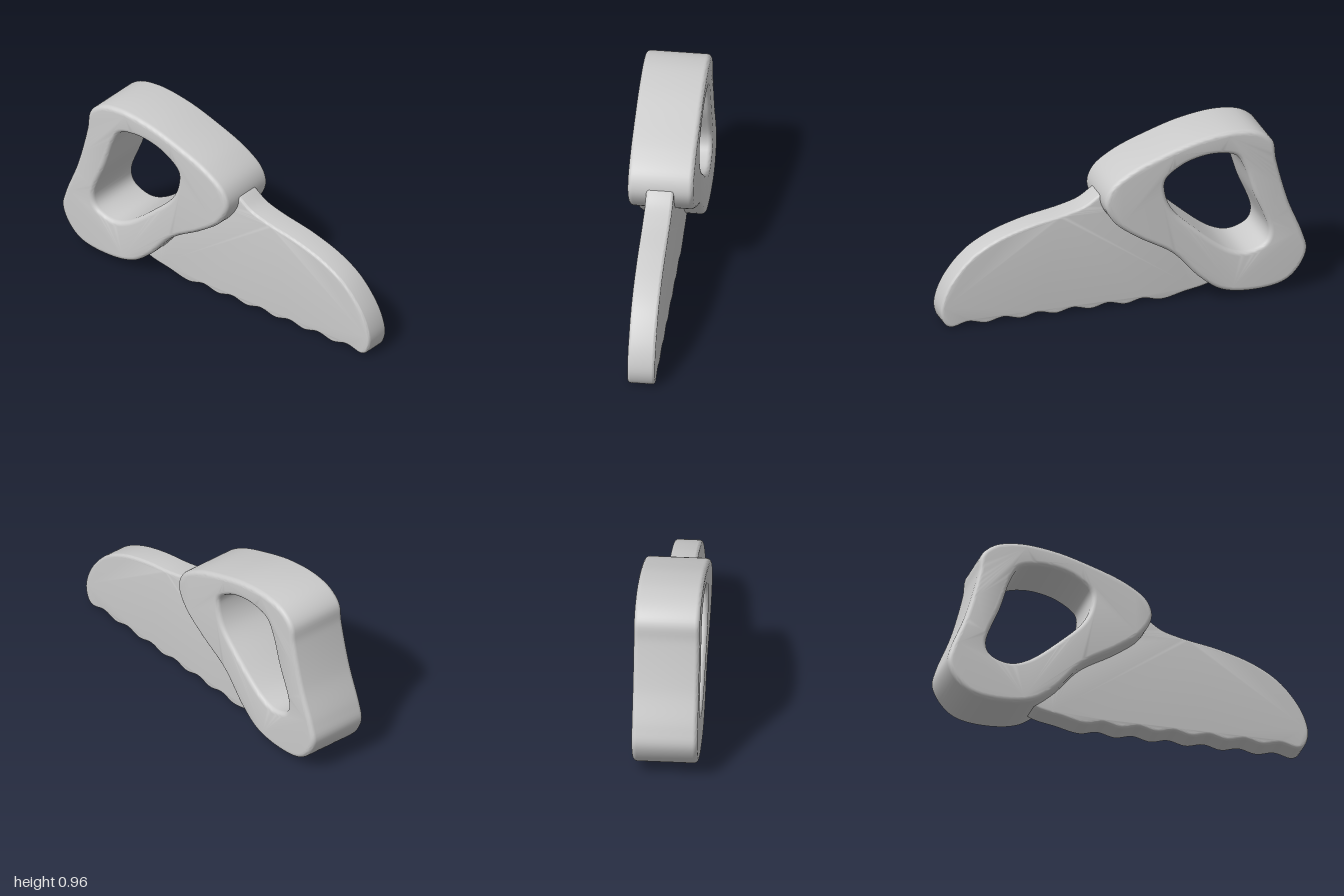
import * as THREE from 'three';
import { toCreasedNormals } from 'three/addons/utils/BufferGeometryUtils.js';

const material = new THREE.MeshStandardMaterial({ color: 0xcccccc });

// Smooth closed outline through a few control points
function outline(points, samples) {
  const curve = new THREE.CatmullRomCurve3(
    points.map(([x, y]) => new THREE.Vector3(x, y, 0)), true, 'centripetal');
  return curve.getSpacedPoints(samples).slice(0, -1).map(p => new THREE.Vector2(p.x, p.y));
}

// Slab centred on z = 0 with rounded rims that stay inside the outline
function roundedSlab(name, shape, halfThickness, bevel) {
  const depth = 2 * (halfThickness - bevel);
  const geometry = new THREE.ExtrudeGeometry(shape, {
    depth, steps: 1, bevelEnabled: true, bevelSegments: 5,
    bevelSize: bevel, bevelThickness: bevel, bevelOffset: -bevel,
  });
  geometry.translate(0, 0, -depth / 2);
  const mesh = new THREE.Mesh(toCreasedNormals(geometry, 0.7), material);
  mesh.name = name;
  return mesh;
}

export function createModel() {
  const group = new THREE.Group();
  group.name = 'handSaw';

  // Chunky handle with a grip opening
  const handle = new THREE.Shape(outline([
    [-0.61, 0.965], [-0.74, 0.94], [-0.815, 0.875], [-0.832, 0.77], [-0.9, 0.52],
    [-0.98, 0.32], [-1.0, 0.23], [-0.955, 0.13], [-0.87, 0.06], [-0.7, 0.034],
    [-0.53, 0.06], [-0.41, 0.145], [-0.26, 0.305], [-0.07, 0.42], [0.06, 0.52],
    [0.117, 0.63], [0.09, 0.72], [-0.02, 0.805], [-0.235, 0.892], [-0.42, 0.945],
  ], 160));
  handle.holes.push(new THREE.Path(outline([
    [-0.51, 0.845], [-0.61, 0.82], [-0.655, 0.75], [-0.71, 0.585], [-0.79, 0.37],
    [-0.77, 0.305], [-0.67, 0.265], [-0.57, 0.29], [-0.39, 0.425], [-0.255, 0.56],
    [-0.215, 0.665], [-0.22, 0.735], [-0.31, 0.805], [-0.41, 0.838],
  ], 110)));
  group.add(roundedSlab('handle', handle, 0.174, 0.026));

  // Wavy teeth: alternating low and high points along the lower edge
  const teeth = [];
  for (let i = 0; i <= 12; i++) teeth.push([-0.22 + i * 0.0965, i % 2 ? 0.026 : 0.006]);

  // Blade, with its root buried in the handle
  const blade = new THREE.Shape(outline([
    [-0.5, 0.07], [-0.35, 0.032], ...teeth,
    [0.972, 0.025], [0.995, 0.085], [0.99, 0.15], [0.945, 0.255], [0.835, 0.385],
    [0.7, 0.468], [0.515, 0.53], [0.3, 0.573], [0.195, 0.605], [0.105, 0.663],
    [0.0, 0.7], [-0.12, 0.6], [-0.25, 0.42], [-0.45, 0.22], [-0.55, 0.13],
  ], 220));
  group.add(roundedSlab('blade', blade, 0.073, 0.016));

  return group;
}
